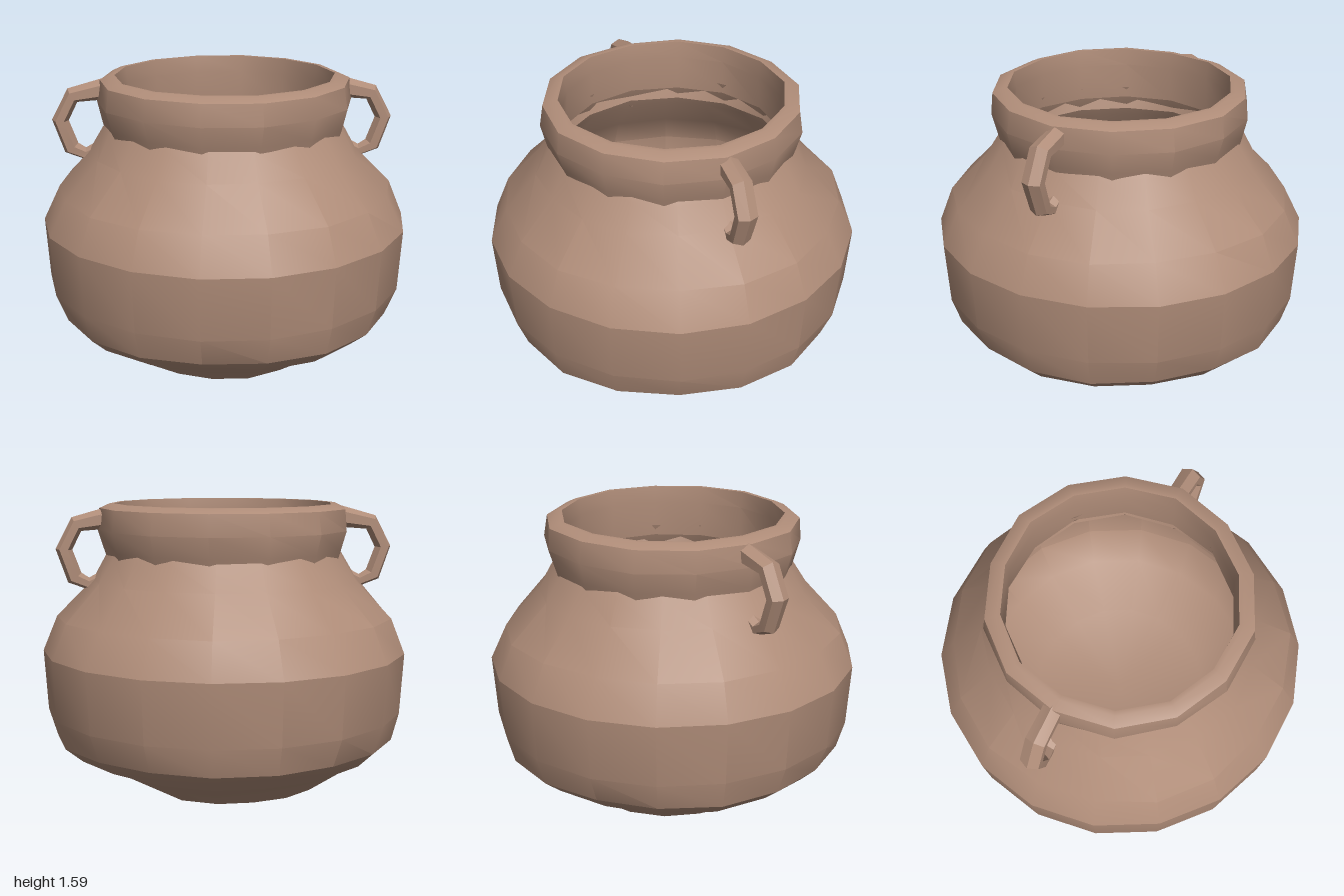
import * as THREE from 'three';
import { toCreasedNormals } from 'three/addons/utils/BufferGeometryUtils.js';

// Lathe with slightly uneven, hand-thrown rings
function turned(profile, sides, wobble, crease) {
  const geo = new THREE.LatheGeometry(profile.map(([r, y]) => new THREE.Vector2(r, y)), sides, Math.PI / 2);
  geo.deleteAttribute('uv');
  geo.deleteAttribute('normal');
  const p = geo.attributes.position;
  for (let i = 0; i < p.count; i++) {
    let x = p.getX(i), y = p.getY(i), z = p.getZ(i);
    const a = Math.atan2(z, x), r = Math.hypot(x, z);
    const k = 1 + wobble * Math.sin(5 * a + 9 * y) * (r < 0.97 ? 1 : 0);
    // shallow dent in the base on the left side
    if (y < 0.2 && r > 0.2) y += 0.07 * THREE.MathUtils.smoothstep(x, 0.2, 0.5) * (1 - y / 0.2);
    p.setXYZ(i, x * k, y, z * k * 1.005);
  }
  return toCreasedNormals(geo, crease);
}

// Six-sided strip swept along points in the xy plane
function handleGeometry(path) {
  const sides = 6, pos = [], index = [];
  path.forEach(([x, y, t, w], i) => {
    const a = path[Math.max(i - 1, 0)], b = path[Math.min(i + 1, path.length - 1)];
    const len = Math.hypot(b[0] - a[0], b[1] - a[1]);
    const nx = -(b[1] - a[1]) / len, ny = (b[0] - a[0]) / len;
    for (let j = 0; j < sides; j++) {
      const q = (j / sides) * Math.PI * 2;
      const u = Math.cos(q) * t;
      pos.push(x + nx * u, y + ny * u, Math.sin(q) * w);
    }
    if (i === 0) return;
    for (let j = 0; j < sides; j++) {
      const k = (j + 1) % sides, c = (i - 1) * sides, d = i * sides;
      index.push(c + j, c + k, d + j, c + k, d + k, d + j);
    }
  });
  const geo = new THREE.BufferGeometry();
  geo.setAttribute('position', new THREE.Float32BufferAttribute(pos, 3));
  geo.setIndex(index);
  return toCreasedNormals(geo, 0.5);
}

export function createModel() {
  const pot = new THREE.Group();
  pot.name = 'pot';
  const clay = new THREE.MeshStandardMaterial({ color: 0xb08d79, side: THREE.DoubleSide });
  clay.name = 'clay';
  const add = (name, geo) => {
    const mesh = new THREE.Mesh(geo, clay);
    mesh.name = name;
    pot.add(mesh);
    return mesh;
  };

  // Round belly, outside
  add('body', turned([
    [0, 0.005], [0.36, 0.02], [0.55, 0.05], [0.72, 0.17], [0.84, 0.23], [0.93, 0.31],
    [0.98, 0.46], [1, 0.79], [0.915, 0.98], [0.73, 1.18], [0.655, 1.31], [0.61, 1.37],
  ], 18, 0.012, 0.42));

  // Hollow inside of the belly
  add('bowlInterior', turned([
    [0.6, 1.36], [0.66, 1.17], [0.85, 0.95], [0.93, 0.78], [0.91, 0.48], [0.78, 0.3],
    [0.5, 0.16], [0, 0.11],
  ], 18, 0, 0.6));

  // Flared neck with a thick rim; its lower edge sinks into the belly
  add('neck', turned([
    [0.625, 1.22], [0.66, 1.34], [0.69, 1.45], [0.675, 1.565], [0.62, 1.59],
    [0.595, 1.59], [0.585, 1.5], [0.6, 1.3],
  ], 14, 0.008, 0.55));

  // Two looped handles: x, y, half thickness, half width
  const path = [
    [0.63, 1.515, 0.06, 0.055], [0.815, 1.48, 0.045, 0.06], [0.885, 1.345, 0.045, 0.06],
    [0.83, 1.19, 0.045, 0.055], [0.75, 1.155, 0.035, 0.045], [0.66, 1.2, 0.035, 0.04],
  ];
  const geo = handleGeometry(path);
  for (const side of [1, -1]) {
    const handle = add(side > 0 ? 'leftHandle' : 'rightHandle', geo);
    handle.rotation.y = side > 0 ? 0 : Math.PI;
    handle.position.set(side > 0 ? -0.01 : -0.005, 0, -0.017);
  }
  return pot;
}
